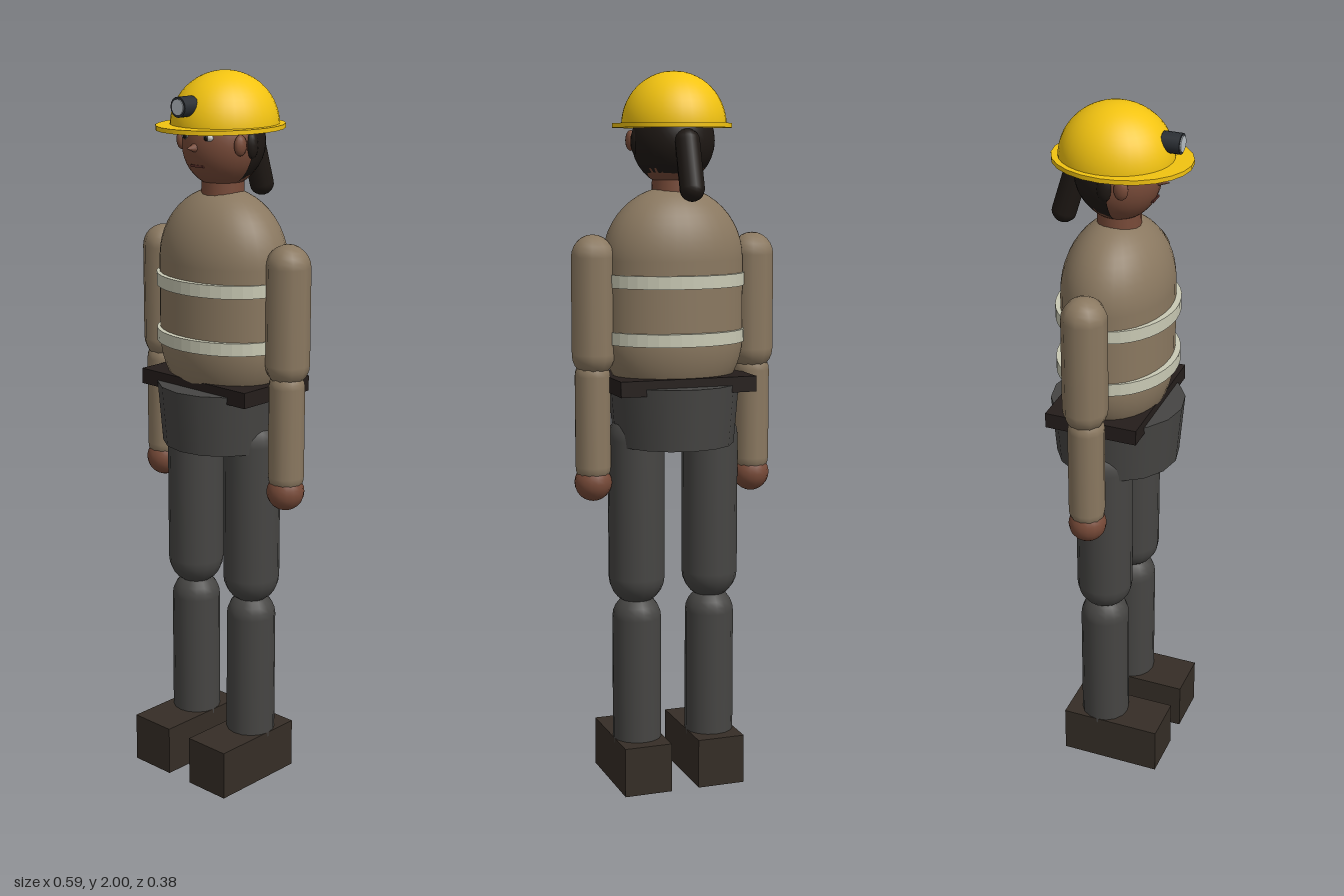
import * as THREE from 'three';

const mat = (color) => new THREE.MeshStandardMaterial({ color });
const M = {
  shirt: mat(0x8a7860), trousers: mat(0x464543), boot: mat(0x352d26), skin: mat(0x774a38),
  hair: mat(0x1e1814), belt: mat(0x241d1b), stripe: mat(0xc9c9b4), helmet: mat(0xf2c311),
  lamp: mat(0x2a2e33), lens: mat(0xb9c0c6), white: mat(0xe8e8e8), dark: mat(0x14100e), lip: mat(0x5c302a),
};
M.stripe.side = M.hair.side = M.helmet.side = THREE.DoubleSide;

export function createModel() {
  const model = new THREE.Group();
  model.name = 'mineWorker';

  const add = (name, geometry, material, x, y, z, sx = 1, sy = 1, sz = 1) => {
    const mesh = new THREE.Mesh(geometry, material);
    mesh.name = name;
    mesh.position.set(x, y, z);
    mesh.scale.set(sx, sy, sz);
    model.add(mesh);
    return mesh;
  };
  const ball = (w = 24, h = 16) => new THREE.SphereGeometry(1, w, h);
  // Upright capsule given by its lowest and highest points
  const limb = (name, material, r, bottom, top, x, z, sides = 16) =>
    add(name, new THREE.CapsuleGeometry(r, top - bottom - 2 * r, 6, sides), material, x, (top + bottom) / 2, z);

  // Torso with two reflective bands
  add('torso', new THREE.CapsuleGeometry(0.198, 0.22, 12, 32), M.shirt, 0, 1.385, -0.002, 1, 1, 0.74);
  for (const y of [1.285, 1.44]) {
    const w = 0.2, d = 0.163, ring = new THREE.Shape().absellipse(0, 0, w, d, 0, Math.PI * 2);
    ring.holes.push(new THREE.Path().absellipse(0, 0, w - 0.015, d - 0.025, 0, Math.PI * 2));
    const band = new THREE.ExtrudeGeometry(ring, { depth: 0.035, bevelEnabled: false, curveSegments: 20 });
    band.rotateX(-Math.PI / 2);
    add('reflectiveBand', band, M.stripe, 0, y - 0.0175, -0.002);
  }

  // Hips and belt
  add('hips', new THREE.CylinderGeometry(0.182, 0.168, 0.17, 16), M.trousers, 0, 1.07, -0.004, 1, 1, 1.02);
  add('belt', new THREE.BoxGeometry(0.39, 0.043, 0.26), M.belt, 0, 1.157, -0.008);

  // Arms and legs
  for (const s of [-1, 1]) {
    const side = s > 0 ? 'left' : 'right';
    limb(side + 'UpperArm', M.shirt, 0.061, 1.18, 1.565, s * 0.232, -0.006, 10);
    limb(side + 'Forearm', M.shirt, 0.05, 0.88, 1.23, s * 0.234, -0.003, 12);
    add(side + 'Hand', ball(16, 12), M.skin, s * 0.234, 0.885, -0.002, 0.052, 0.052, 0.052);
    limb(side + 'Thigh', M.trousers, 0.079, 0.53, 1.08, s * 0.109, -0.002);
    limb(side + 'Shin', M.trousers, 0.069, 0.06, 0.56, s * 0.109, -0.002);
    add(side + 'Boot', new THREE.BoxGeometry(0.137, 0.14, 0.288), M.boot, s * 0.109, 0.07, 0.038);
  }

  // Neck, head and face
  add('neck', new THREE.CylinderGeometry(0.056, 0.06, 0.12, 16), M.skin, 0, 1.69, 0);
  add('head', ball(28, 20), M.skin, 0, 1.81, 0, 0.11, 0.118, 0.11);
  const nose = add('nose', new THREE.ConeGeometry(0.014, 0.036, 10), M.skin, 0, 1.806, 0.12);
  nose.rotation.x = Math.PI / 2;
  add('mouth', new THREE.BoxGeometry(0.045, 0.006, 0.008), M.lip, 0, 1.757, 0.097);
  for (const s of [-1, 1]) {
    add('eye', ball(12, 8), M.white, s * 0.04, 1.834, 0.097, 0.017, 0.01, 0.009);
    add('pupil', ball(10, 8), M.dark, s * 0.039, 1.834, 0.104, 0.007, 0.008, 0.005);
    add('eyebrow', new THREE.BoxGeometry(0.034, 0.006, 0.01), M.hair, s * 0.04, 1.851, 0.094);
    add('ear', ball(12, 8), M.skin, s * 0.106, 1.815, 0.045, 0.014, 0.028, 0.02);
    add('sideHair', ball(12, 8), M.hair, s * 0.106, 1.812, 0, 0.014, 0.036, 0.02);
  }

  // Hair cap over the back of the head, and ponytail
  add('hair', new THREE.SphereGeometry(1, 20, 16, Math.PI, Math.PI), M.hair, 0, 1.815, 0.008, 0.116, 0.121, 0.126);
  const tail = add('ponytail', new THREE.CapsuleGeometry(0.034, 0.13, 6, 12), M.hair, 0, 1.75, -0.135);
  tail.rotation.x = 0.3;

  // Helmet: dome, brim and lamp
  add('helmetDome', new THREE.SphereGeometry(1, 32, 14, 0, Math.PI * 2, 0, Math.PI / 2),
    M.helmet, 0, 1.855, -0.008, 0.142, 0.145, 0.152);
  add('helmetBrim', new THREE.CylinderGeometry(1, 1, 0.012, 24), M.helmet, 0, 1.855, 0.008, 0.161, 1, 0.186);
  const lamp = add('headLamp', new THREE.CylinderGeometry(0.027, 0.027, 0.05, 16), M.lamp, 0, 1.915, 0.143);
  const lens = add('lampLens', new THREE.CylinderGeometry(0.021, 0.021, 0.006, 16), M.lens, 0, 1.915, 0.168);
  lamp.rotation.x = lens.rotation.x = Math.PI / 2;

  return model;
}
